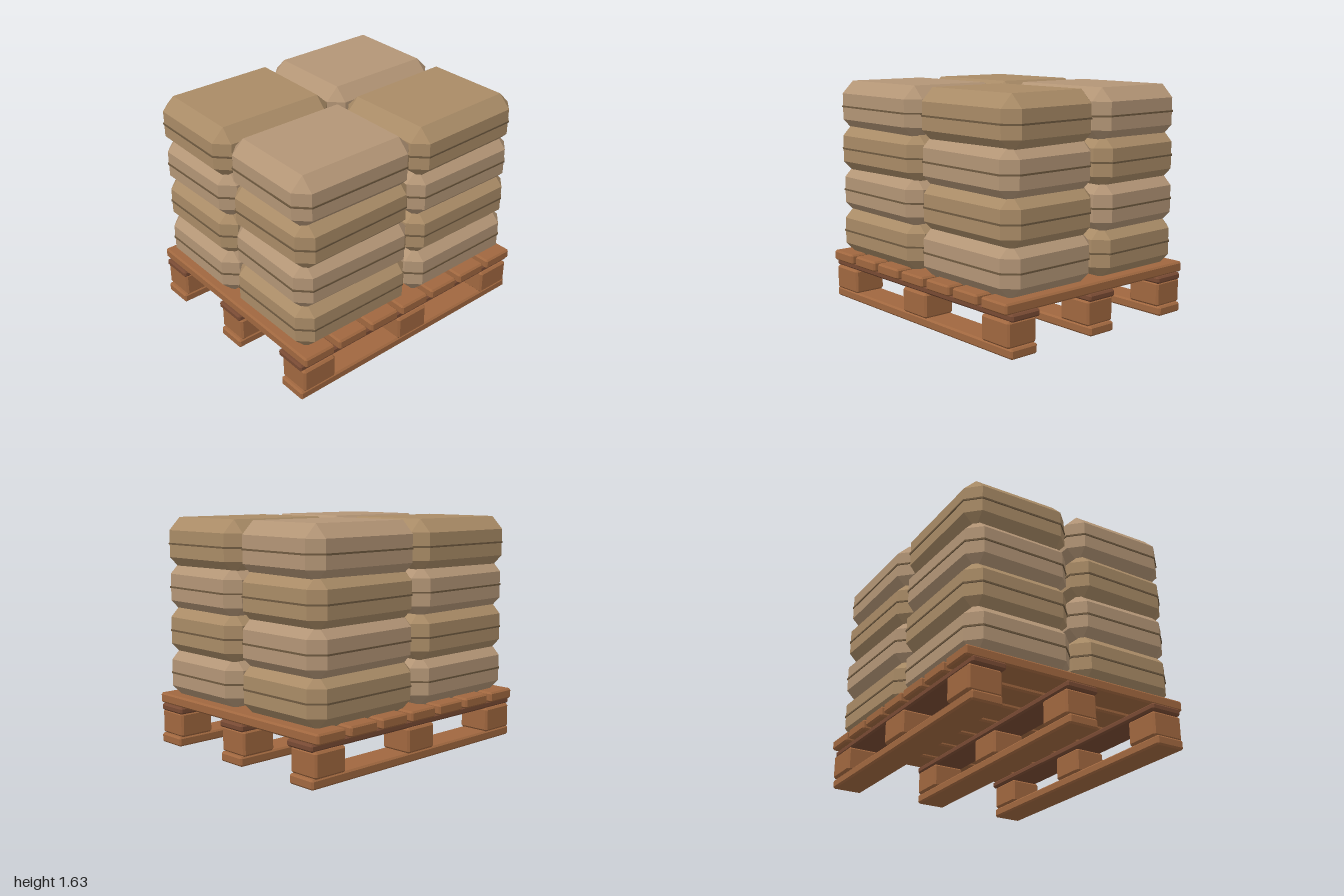
import * as THREE from 'three';
import { ConvexGeometry } from 'three/addons/geometries/ConvexGeometry.js';

const SIGNS = [-1, 1];
const material = (color) => new THREE.MeshStandardMaterial({ color, flatShading: true });
const wood = material(0xa0673f);
const darkWood = material(0x784a33);
const sackTones = [material(0xa98b66), material(0xb39576)];
const seamMaterial = material(0x6f5a40);

// Box with every edge and corner cut off by c
function chamferBox(w, h, d, c) {
  const [x, y, z] = [w / 2, h / 2, d / 2];
  const points = [];
  for (const i of SIGNS) for (const j of SIGNS) for (const k of SIGNS) {
    points.push(
      new THREE.Vector3(i * x, j * (y - c), k * (z - c)),
      new THREE.Vector3(i * (x - c), j * y, k * (z - c)),
      new THREE.Vector3(i * (x - c), j * (y - c), k * z));
  }
  return new ConvexGeometry(points);
}

// Flat slab whose outline is a rectangle with cut corners
function octagonSlab(w, h, d, c) {
  const points = [];
  for (const i of SIGNS) for (const j of SIGNS) for (const k of SIGNS) {
    points.push(
      new THREE.Vector3(i * w / 2, j * h / 2, k * (d / 2 - c)),
      new THREE.Vector3(i * (w / 2 - c), j * h / 2, k * d / 2));
  }
  return new ConvexGeometry(points);
}

function add(parent, name, geometry, mat, x, y, z) {
  const mesh = new THREE.Mesh(geometry, mat);
  mesh.name = name;
  mesh.position.set(x, y, z);
  parent.add(mesh);
  return mesh;
}

function createPallet() {
  const pallet = new THREE.Group();
  pallet.name = 'pallet';
  const skid = chamferBox(2, 0.068, 0.222, 0.012);
  const block = chamferBox(0.265, 0.175, 0.24, 0.014);
  const stringer = chamferBox(2, 0.05, 0.24, 0.012);
  const slat = chamferBox(0.245, 0.074, 1.69, 0.012);

  // Three runners, each with blocks and a cross board on top
  for (const row of [-1, 0, 1]) {
    add(pallet, 'bottomSkid', skid, wood, 0, 0.034, row * 0.702);
    for (const col of [-1, 0, 1]) {
      add(pallet, 'spacerBlock', block, wood, col * 0.848, 0.154, row * 0.704);
    }
    add(pallet, 'stringerBoard', stringer, darkWood, 0, 0.264, row * 0.688);
  }
  // Deck boards running front to back
  for (let i = -3; i <= 3; i++) {
    add(pallet, 'deckSlat', slat, wood, i * 0.2865, 0.323, 0);
  }
  return pallet;
}

function createSacks() {
  const sacks = new THREE.Group();
  sacks.name = 'sackStack';
  const body = chamferBox(0.956, 0.37, 0.79, 0.09);
  const seam = octagonSlab(0.968, 0.012, 0.802, 0.093);

  // Small repeatable variation for a hand-stacked look
  let seed = 7;
  const jitter = () => {
    seed = (seed * 16807) % 2147483647;
    return (seed / 2147483647) * 2 - 1;
  };
  const topYaw = [-0.018, -0.012, -0.008, 0.015];

  for (let layer = 0; layer < 4; layer++) {
    let index = 0;
    for (const sx of SIGNS) for (const sz of SIGNS) {
      const sack = new THREE.Group();
      sack.name = 'sack';
      sack.position.set(
        sx * 0.484 + jitter() * 0.005,
        0.525 + layer * 0.3083,
        sz * 0.407 + jitter() * 0.004);
      const yaw = jitter() * 0.018;
      sack.rotation.y = layer === 3 ? topYaw[index] : yaw;
      const pale = layer % 2 === 1 ? sx !== sz : sx === sz;
      add(sack, 'sackBody', body, sackTones[pale ? 1 : 0], 0, 0, 0);
      add(sack, 'sackSeam', seam, seamMaterial, 0, 0, 0);
      sacks.add(sack);
      index++;
    }
  }
  return sacks;
}

export function createModel() {
  const model = new THREE.Group();
  model.name = 'loadedPallet';
  model.add(createPallet(), createSacks());
  return model;
}
